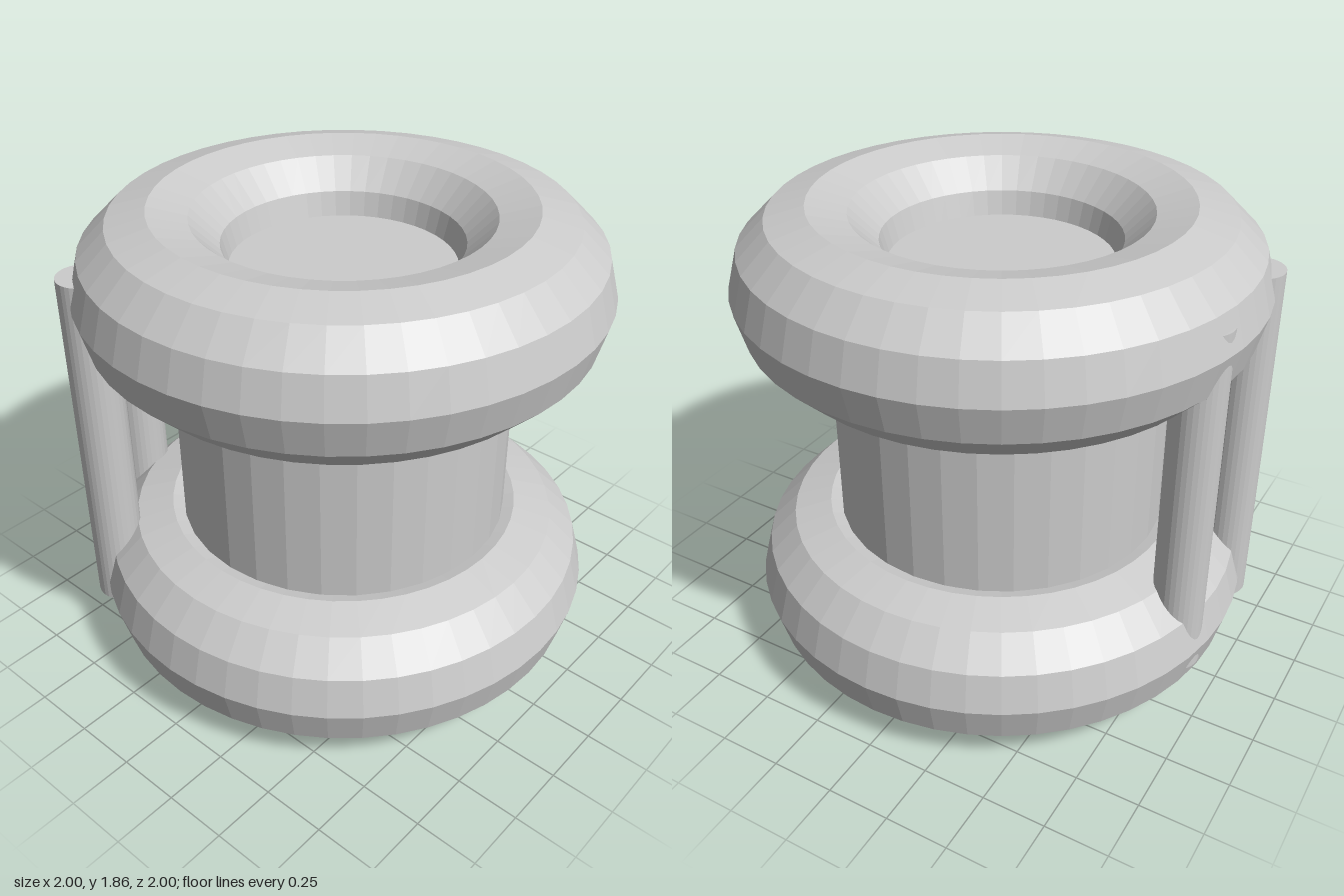
import * as THREE from 'three';

export function createModel() {
  const model = new THREE.Group();
  const material = new THREE.MeshStandardMaterial({ color: 0xcccccc, flatShading: true });

  const add = (name, geometry, x, y, z) => {
    const mesh = new THREE.Mesh(geometry, material);
    mesh.name = name;
    mesh.position.set(x, y, z);
    model.add(mesh);
  };

  // Rounded rings at the bottom and top
  const ring = new THREE.TorusGeometry(0.705, 0.295, 12, 48).rotateX(Math.PI / 2);
  add('lowerRing', ring, 0, 0.295, 0);
  add('upperRing', ring, 0, 1.565, 0);

  // Central drum, its ends closing the ring holes
  add('drum', new THREE.CylinderGeometry(0.66, 0.66, 1.38, 32), 0, 0.93, 0);

  // Three upright rods along the right side, sunk into both rings
  const rod = new THREE.CylinderGeometry(0.1, 0.1, 1.435, 32);
  const rodSpots = [[-0.59, 0.735], [-0.87, 0.335], [-0.87, -0.17]];
  rodSpots.forEach(([x, z], i) => add(`rod${i + 1}`, rod, x, 0.928, z));

  return model;
}
